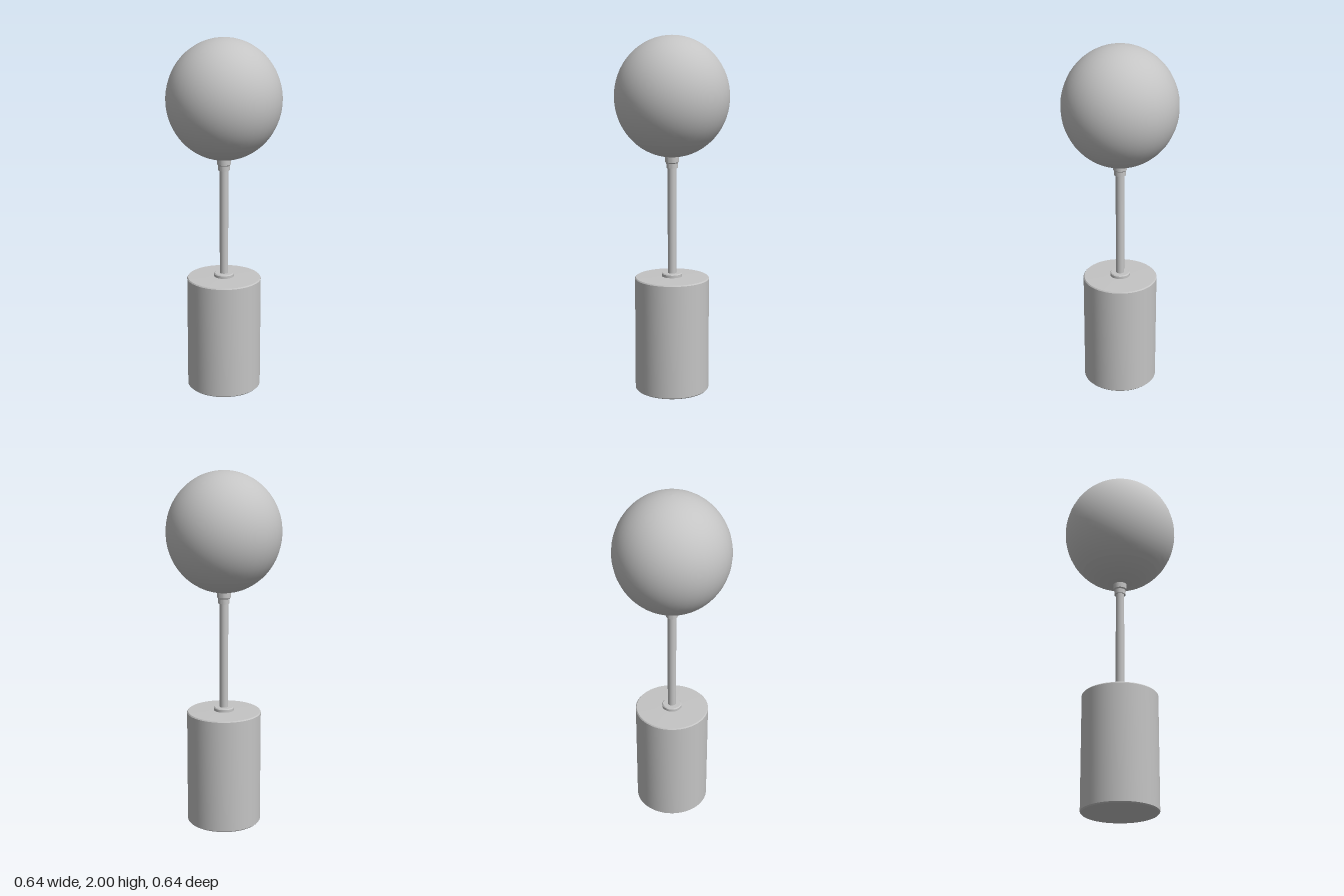
import * as THREE from 'three';
import { toCreasedNormals } from 'three/addons/utils/BufferGeometryUtils.js';

export function createModel() {
  const group = new THREE.Group();
  const grey = new THREE.MeshStandardMaterial({ color: 0xc4c4c4 });
  grey.name = 'grey';

  // Turned part: profile of [radius, y] points listed from bottom to top
  function turned(name, profile, segments, creased = true) {
    const points = profile.map(([r, y]) => new THREE.Vector2(r, y));
    let geometry = new THREE.LatheGeometry(points, segments);
    if (creased) geometry = toCreasedNormals(geometry, 0.5);
    const mesh = new THREE.Mesh(geometry, grey);
    mesh.name = name;
    group.add(mesh);
  }

  // Slightly tall globe profile between two polar angles (0 = bottom)
  function globeArc(from, to, steps) {
    const arc = [];
    for (let i = 0; i <= steps; i++) {
      const a = from + (to - from) * i / steps;
      arc.push([Math.max(0, 0.318 * Math.sin(a)), 1.667 - 0.333 * Math.cos(a)]);
    }
    return arc;
  }
  const rim = Math.acos(0.249 / 0.333);

  // Solid base with softened edges and a shallow raised top
  turned('base', [
    [0, 0], [0.203, 0], [0.209, 0.006], [0.209, 0.647],
    [0.204, 0.653], [0.1, 0.656], [0, 0.659],
  ], 64);

  // Collar where the stem meets the base
  turned('stemCollar', [
    [0, 0.65], [0.056, 0.65], [0.056, 0.672], [0.051, 0.677], [0, 0.677],
  ], 32);

  turned('stem', [[0.024, 0.66], [0.024, 1.3]], 24, false);

  // Stepped socket under the globe
  turned('socket', [
    [0, 1.273], [0.032, 1.273], [0.032, 1.3], [0.038, 1.306],
    [0.038, 1.338], [0, 1.338],
  ], 24);

  // Globe shade and the holder dish that closes it below
  turned('globe', globeArc(rim, Math.PI, 24), 40, false);
  turned('globeHolder', globeArc(0, rim, 8), 40, false);

  return group;
}
